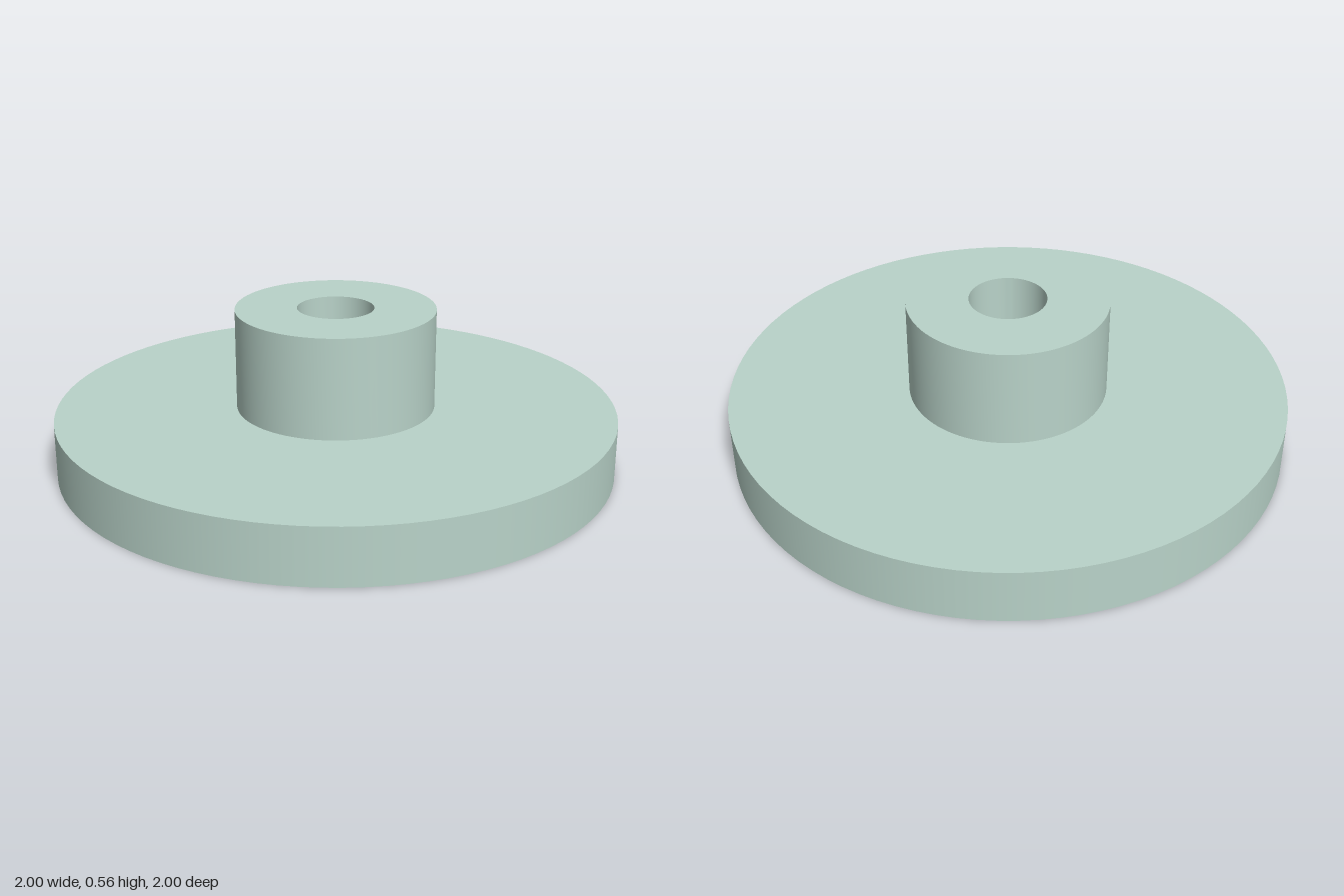
import * as THREE from 'three';
import { toCreasedNormals } from 'three/addons/utils/BufferGeometryUtils.js';

const SEGMENTS = 96;
const DISC_HEIGHT = 0.2;
const HUB_TOP = 0.56;
const HUB_RADIUS = 0.356;
const BORE_RADIUS = 0.137;

export function createModel() {
  const group = new THREE.Group();
  group.name = 'hubbedDisc';
  const material = new THREE.MeshStandardMaterial({ color: 0xb9d3c9 });

  // Flat round base, which also closes the bottom of the bore
  const disc = new THREE.Mesh(
    new THREE.CylinderGeometry(1, 1, DISC_HEIGHT, SEGMENTS),
    material
  );
  disc.name = 'baseDisc';
  disc.position.y = DISC_HEIGHT / 2;
  group.add(disc);

  // Hub: outer wall, top ring and bore wall in one turned profile
  const profile = [
    new THREE.Vector2(HUB_RADIUS, DISC_HEIGHT),
    new THREE.Vector2(HUB_RADIUS, HUB_TOP),
    new THREE.Vector2(BORE_RADIUS, HUB_TOP),
    new THREE.Vector2(BORE_RADIUS, DISC_HEIGHT),
  ];
  const hub = new THREE.Mesh(
    toCreasedNormals(new THREE.LatheGeometry(profile, SEGMENTS), 0.6),
    material
  );
  hub.name = 'hub';
  hub.position.z = -0.007; // sits a touch behind the disc centre
  group.add(hub);

  return group;
}
